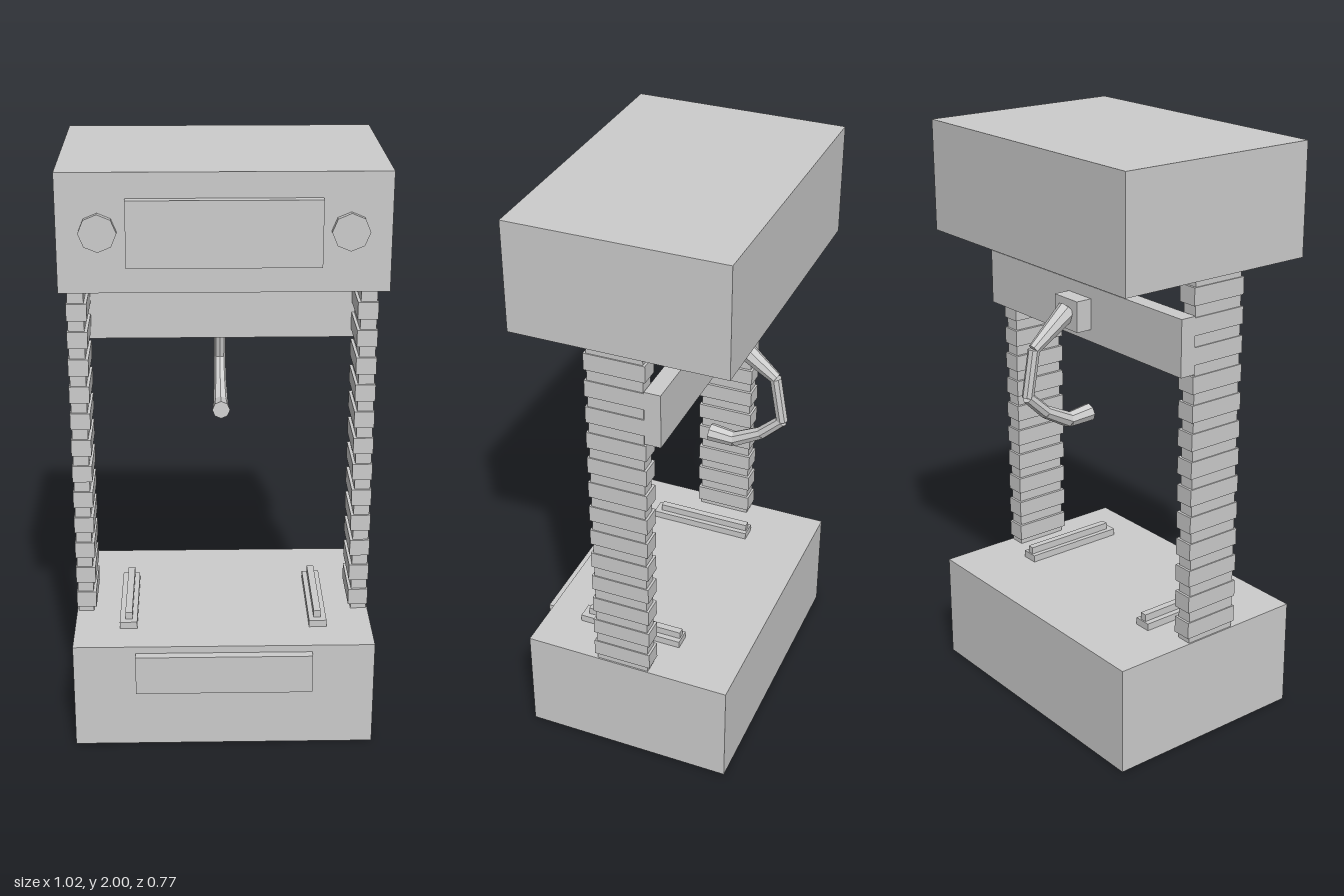
import * as THREE from 'three';

export function createModel() {
  const model = new THREE.Group();
  const grey = new THREE.MeshStandardMaterial({ color: 0xcccccc, flatShading: true });

  const add = (name, geometry, parent = model) => {
    const mesh = new THREE.Mesh(geometry, grey);
    mesh.name = name;
    parent.add(mesh);
    return mesh;
  };

  // Box given by its limits along x, y and z
  const block = (name, [x0, x1], [y0, y1], [z0, z1], parent) => {
    const mesh = add(name, new THREE.BoxGeometry(x1 - x0, y1 - y0, z1 - z0), parent);
    mesh.position.set((x0 + x1) / 2, (y0 + y1) / 2, (z0 + z1) / 2);
    return mesh;
  };

  // Main housings with raised front panels
  block('base', [-0.512, 0.512], [0, 0.38], [-0.378, 0.355]);
  block('head', [-0.512, 0.512], [1.625, 2], [-0.37, 0.355]);
  block('lowerPanel', [-0.3, 0.3], [0.215, 0.355], [0.35, 0.385]);
  block('upperPanel', [-0.3, 0.3], [1.71, 1.92], [0.35, 0.385]);

  // Bevelled plate under the head: four-sided frustum
  const plateShape = new THREE.CylinderGeometry(Math.SQRT1_2, 0.6, 1, 4);
  plateShape.rotateY(Math.PI / 4);
  const plate = add('undersidePlate', plateShape);
  plate.scale.set(0.475, 0.022, 0.21);
  plate.position.set(0, 1.614, -0.235);

  for (const side of [-1, 1]) {
    const prefix = side > 0 ? 'left' : 'right';
    const span = (a, b) => (side > 0 ? [a, b] : [-b, -a]);

    // Octagonal knob
    const knob = add(prefix + 'Knob', new THREE.CylinderGeometry(0.059, 0.059, 0.03, 8));
    knob.rotation.set(Math.PI / 2, Math.PI / 8, 0, 'XYZ');
    knob.rotation.y = 0;
    knob.position.set(side * 0.385, 1.817, 0.36);

    // Ribbed column
    const column = new THREE.Group();
    column.name = prefix + 'Column';
    model.add(column);
    block('columnCore', span(0.453, 0.507), [0.37, 1.63], [-0.092, 0.095], column);
    const pitch = 1.245 / 13;
    for (let i = 0; i < 13; i++) {
      const y = 0.38 + i * pitch;
      block('columnRib', span(0.443, 0.511), [y + 0.02, y + 0.078], [-0.1, 0.103], column);
    }

    // Stepped rail on the base
    block(prefix + 'Rail', span(0.297, 0.357), [0.375, 0.405], [-0.145, 0.228]);
    block(prefix + 'RailRib', span(0.314, 0.338), [0.4, 0.43], [-0.14, 0.205]);
  }

  // Crossbar behind the columns and the hook mount
  block('crossbar', [-0.511, 0.511], [1.328, 1.517], [-0.15, -0.095]);
  block('hookMount', [-0.06, 0.06], [1.37, 1.475], [-0.207, -0.145]);

  // Hook: tapered straight segments, each point is [y, z, radius]
  const hook = new THREE.Group();
  hook.name = 'hook';
  model.add(hook);
  const path = [
    [1.432, -0.2, 0.036], [1.325, -0.338, 0.02], [1.165, -0.366, 0.02],
    [1.098, -0.295, 0.022], [1.048, -0.2, 0.026], [1.055, -0.113, 0.031],
  ];
  for (let i = 0; i < path.length - 1; i++) {
    const [y0, z0, r0] = path[i];
    const [y1, z1, r1] = path[i + 1];
    const start = new THREE.Vector3(0, y0, z0);
    const end = new THREE.Vector3(0, y1, z1);
    const dir = end.clone().sub(start);
    const segment = add('hookSegment', new THREE.CylinderGeometry(r1, r0, dir.length(), 8), hook);
    segment.position.copy(start).add(end).multiplyScalar(0.5);
    segment.quaternion.setFromUnitVectors(new THREE.Vector3(0, 1, 0), dir.normalize());
  }

  return model;
}
